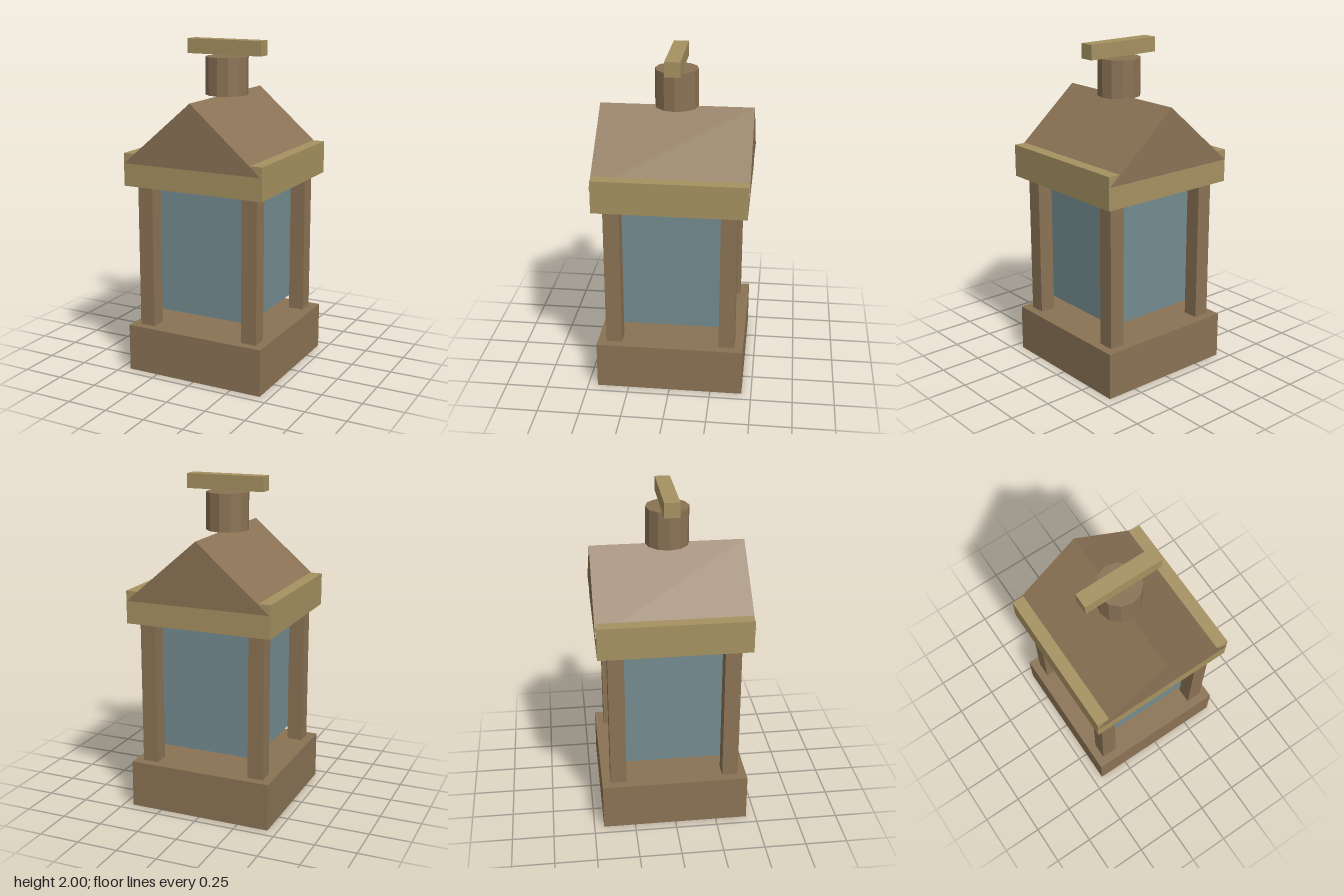
import * as THREE from 'three';

export function createModel() {
  const model = new THREE.Group();
  model.name = 'lantern';

  const material = (name, color) => {
    const m = new THREE.MeshStandardMaterial({ color });
    m.name = name;
    return m;
  };
  const wood = material('brown', 0x8b7355);
  const trim = material('gold', 0xa69261);
  const glass = material('glassBlue', 0x748c90);

  const add = (name, geometry, mat, x = 0, y = 0, z = 0) => {
    const mesh = new THREE.Mesh(geometry, mat);
    mesh.name = name;
    mesh.position.set(x, y, z);
    model.add(mesh);
    return mesh;
  };
  // Box given by its width, depth and vertical extent
  const box = (name, mat, w, d, y0, y1, x = 0, z = 0) =>
    add(name, new THREE.BoxGeometry(w, y1 - y0, d), mat, x, (y0 + y1) / 2, z);

  // Base block
  box('base', wood, 0.884, 0.884, 0, 0.287);

  // Corner posts
  for (const x of [-0.342, 0.342])
    for (const z of [-0.342, 0.342])
      box('cornerPost', wood, 0.096, 0.096, 0.287, 1.17, x, z);

  // Glass chamber, hanging clear of the base
  box('glassChamber', glass, 0.588, 0.588, 0.37, 1.17);

  // Eaves band
  box('eaves', trim, 0.896, 0.896, 1.16, 1.356);

  // Gabled roof, its ridge running front to back
  const gable = new THREE.Shape();
  gable.moveTo(-0.442, 1.297);
  gable.lineTo(0.442, 1.297);
  gable.lineTo(0, 1.677);
  gable.closePath();
  const roof = new THREE.ExtrudeGeometry(gable, { depth: 0.91, bevelEnabled: false });
  add('roof', roof, wood, 0, 0, -0.455);

  // Twelve-sided chimney
  const chimney = new THREE.CylinderGeometry(0.128, 0.128, 0.225, 12).toNonIndexed();
  chimney.computeVertexNormals();
  add('chimney', chimney, wood, 0, 1.788, 0);

  // Carrying bar
  box('handleBar', trim, 0.484, 0.09, 1.912, 2);

  return model;
}
